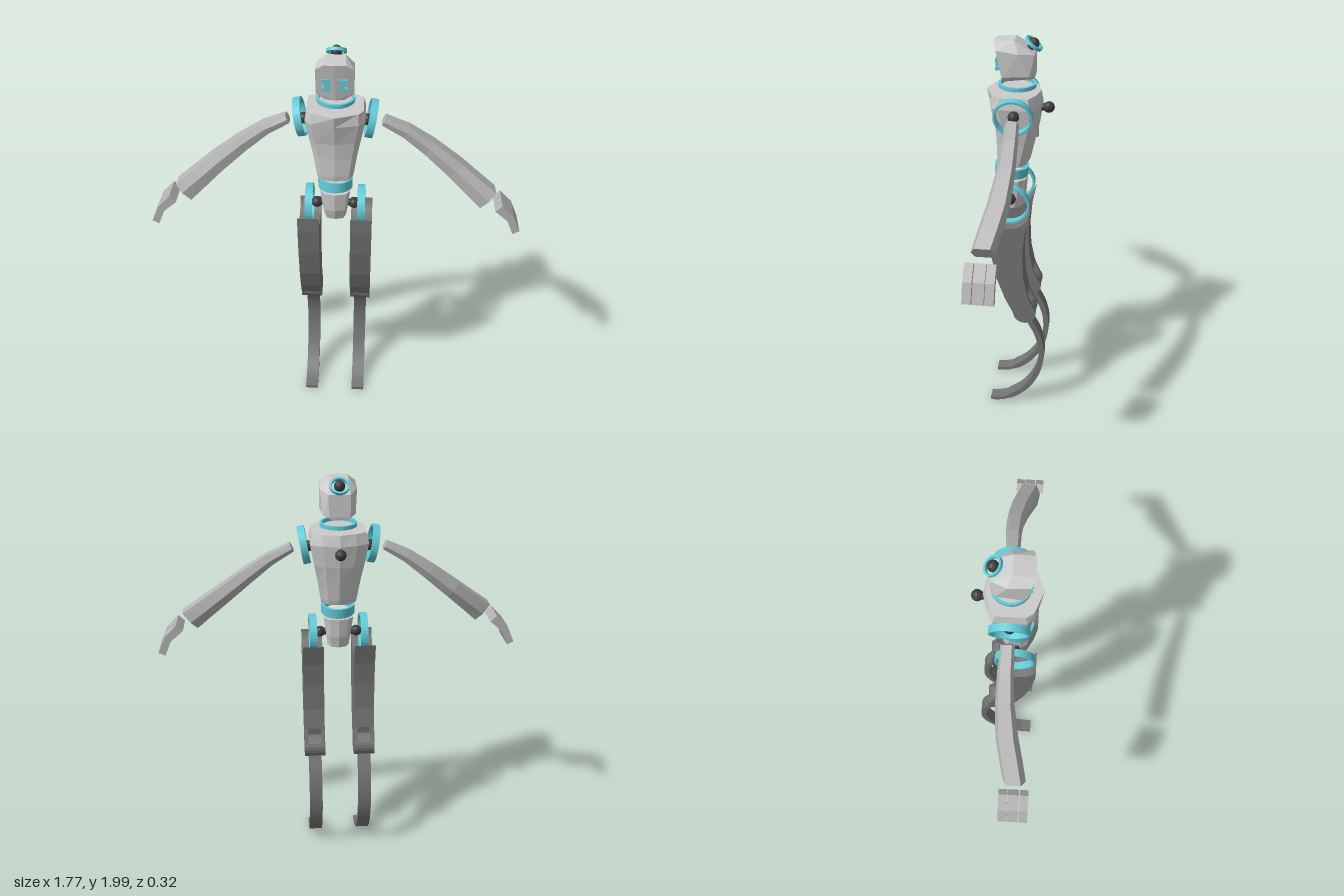
import * as THREE from 'three';
import { ConvexGeometry } from 'three/addons/geometries/ConvexGeometry.js';

const mat = (color) => new THREE.MeshStandardMaterial({ color, flatShading: true });
const shell = mat(0xcccccc), limb = mat(0xb4b4b4), dark = mat(0x747474), black = mat(0x3c3c3c), cyan = mat(0x62cbd8);
const V = (x, y, z) => new THREE.Vector3(x, y, z);

export function createModel() {
  const root = new THREE.Group();
  const add = (name, geometry, material, parent = root) => {
    const m = new THREE.Mesh(geometry, material);
    m.name = name;
    parent.add(m);
    return m;
  };

  // Skin between cross-sections of equal point count, capped at both ends, always facing outwards
  const loft = (sections) => {
    const n = sections[0].length, tris = [];
    const mid = (s) => s.reduce((a, p) => a.add(p), V(0, 0, 0)).divideScalar(n);
    const first = sections[0], last = sections[sections.length - 1];
    const c0 = mid(first), c1 = mid(last);
    for (let i = 0; i < n; i++) {
      const j = (i + 1) % n;
      for (let k = 0; k < sections.length - 1; k++) {
        const a = sections[k], b = sections[k + 1];
        tris.push([a[i], a[j], b[j]], [a[i], b[j], b[i]]);
      }
      tris.push([c0, first[j], first[i]], [c1, last[i], last[j]]);
    }
    const volume = tris.reduce((v, [a, b, c]) => v + a.dot(V(0, 0, 0).crossVectors(b, c)), 0);
    const points = tris.flatMap(([a, b, c]) => (volume < 0 ? [a, c, b] : [a, b, c]));
    const g = new THREE.BufferGeometry().setFromPoints(points);
    g.computeVertexNormals();
    return g;
  };

  const extrude = (shape, depth) =>
    new THREE.ExtrudeGeometry(shape, { depth, bevelEnabled: false, curveSegments: 20 }).translate(0, 0, -depth / 2);
  const polygon = (pts) => new THREE.Shape(pts.map(([x, y]) => new THREE.Vector2(x, y)));
  // Side profile given as (z, y), widened along x
  const sideExtrude = (shape, width, x) => extrude(shape, width).rotateY(-Math.PI / 2).translate(x, 0, 0);

  // Hollow band around an axis
  const band = (name, radius, wall, height, position, axis) => {
    const s = new THREE.Shape().absarc(0, 0, radius, 0, Math.PI * 2, false);
    s.holes.push(new THREE.Path().absarc(0, 0, radius - wall, 0, Math.PI * 2, true));
    const m = add(name, extrude(s, height), cyan);
    m.position.copy(position);
    m.quaternion.setFromUnitVectors(V(0, 0, 1), axis.clone().normalize());
  };

  // Ball on a short stalk
  const knob = (name, base, tip, r = 0.027) => {
    const g = new THREE.Group();
    const dir = tip.clone().sub(base);
    const len = dir.length();
    g.name = name;
    g.position.copy(base);
    g.quaternion.setFromUnitVectors(V(0, 1, 0), dir.normalize());
    add('stalk', new THREE.CylinderGeometry(r * 0.65, r * 0.65, len, 10).translate(0, len / 2, 0), black, g);
    add('ball', new THREE.SphereGeometry(r, 12, 8).translate(0, len, 0), black, g);
    root.add(g);
  };

  // Torso section: ridge in front, flat front panels, sides, ridge at the back
  const torsoSection = ([y, front, corner, rear, back, wFront, wSide, wBack]) => [
    V(0, y, front), V(wFront, y, corner), V(wSide, y, corner - 0.035), V(wSide, y, rear + 0.03),
    V(wBack, y, rear), V(0, y, back),
    V(-wBack, y, rear), V(-wSide, y, rear + 0.03), V(-wSide, y, corner - 0.035), V(-wFront, y, corner),
  ];
  add('chest', loft([
    [1.375, 0.108, 0.098, -0.03, -0.042, 0.062, 0.083, 0.05],
    [1.4, 0.112, 0.1, -0.038, -0.052, 0.066, 0.088, 0.052],
    [1.5, 0.114, 0.1, -0.06, -0.075, 0.078, 0.103, 0.06],
    [1.58, 0.12, 0.105, -0.08, -0.094, 0.09, 0.118, 0.066],
    [1.685, 0.145, 0.122, -0.092, -0.11, 0.108, 0.137, 0.08],
    [1.738, 0.155, 0.115, -0.08, -0.1, 0.105, 0.128, 0.075],
  ].map(torsoSection)), shell);
  add('pelvis', loft([
    [1.14, 0.085, 0.075, -0.005, -0.015, 0.04, 0.052, 0.035],
    [1.2, 0.105, 0.092, -0.02, -0.03, 0.048, 0.06, 0.04],
    [1.295, 0.11, 0.095, -0.028, -0.038, 0.055, 0.072, 0.045],
  ].map(torsoSection)), shell);

  // Head: flat wide face, narrow crown, tapered chin
  const headPoints = [V(0, 1.972, 0.115), V(0, 1.786, 0.08)];
  for (const s of [-1, 1]) {
    headPoints.push(
      V(s * 0.05, 1.97, 0.11), V(s * 0.085, 1.945, 0.1), V(s * 0.045, 1.98, 0.02),
      V(s * 0.085, 1.93, 0), V(s * 0.05, 1.92, -0.072), V(s * 0.085, 1.82, 0.075),
      V(s * 0.075, 1.825, -0.05), V(s * 0.05, 1.815, -0.072), V(s * 0.045, 1.788, 0.072), V(s * 0.04, 1.805, -0.07));
  }
  add('head', new ConvexGeometry(headPoints), shell);

  // Central rings and knobs
  band('neckRing', 0.088, 0.012, 0.018, V(0, 1.764, 0.012), V(0, 1, 0));
  band('waistRing', 0.082, 0.012, 0.048, V(0, 1.335, 0.04), V(0, 1, -0.1));
  const crownAxis = V(0, 0.79, -0.62);
  const crownCentre = V(0, 1.958, -0.062);
  band('crownRing', 0.046, 0.01, 0.015, crownCentre, crownAxis);
  knob('crownKnob', V(0, 1.915, -0.03), crownCentre, 0.026);
  knob('backKnob', V(0, 1.657, -0.09), V(0, 1.657, -0.135));

  // Leg profiles, in (z, y)
  const hip = { z: 0.037, y: 1.2, r: 0.107 };
  const frontEdge = [[0.142, 1.1], [0.127, 0.96], [0.095, 0.8], [0.053, 0.68], [0.018, 0.61]];
  const backEdge = [[-0.058, 0.705], [-0.037, 0.81], [-0.032, 0.945], [-0.042, 1.06]];
  const legShape = (kneePoints) => {
    const socket = [];
    for (let i = 0; i <= 16; i++) {
      const a = Math.PI + 0.31 + (Math.PI - 0.52) * (i / 16);
      socket.push([hip.z + hip.r * Math.cos(a), hip.y + hip.r * Math.sin(a)]);
    }
    return polygon([...socket, ...frontEdge, ...kneePoints, ...backEdge]);
  };
  const kneeArc = [];
  for (let i = 0; i <= 12; i++) {
    const a = -0.1 - (Math.PI + 0.6) * (i / 12);
    kneeArc.push([-0.043 + 0.057 * Math.cos(a), 0.602 + 0.057 * Math.sin(a)]);
  }
  const cheekShape = legShape(kneeArc);
  const coreShape = legShape([[-0.005, 0.6], [-0.015, 0.69]]);

  // Curved spring blade, thinner at the toe
  const path = new THREE.CatmullRomCurve3([
    V(-0.045, 0.6, 0), V(-0.07, 0.54, 0), V(-0.108, 0.46, 0), V(-0.128, 0.37, 0), V(-0.123, 0.265, 0),
    V(-0.088, 0.165, 0), V(-0.03, 0.085, 0), V(0.045, 0.03, 0), V(0.085, 0.015, 0), V(0.14, 0.009, 0)]);
  const inner = [], outer = [];
  for (let i = 0; i <= 32; i++) {
    const p = path.getPointAt(i / 32), t = path.getTangentAt(i / 32);
    const h = i > 27 ? 0.009 : 0.014;
    inner.push([p.x - t.y * h, p.y + t.x * h]);
    outer.unshift([p.x + t.y * h, Math.max(0, p.y - t.x * h)]);
  }
  const bladeShape = polygon([...inner, ...outer]);

  // Bent finger and eye outlines, in (x, y)
  const finger = [[0.788, 1.278], [0.757, 1.248], [0.82, 1.193], [0.852, 1.119], [0.884, 1.135], [0.847, 1.219]];
  const eye = [[0.018, 1.845], [0.058, 1.845], [0.058, 1.86], [0.045, 1.86], [0.045, 1.884],
    [0.058, 1.884], [0.058, 1.9], [0.018, 1.9]];
  // Arm stations: x, y, half thickness, back z, front z
  const arm = [
    [0.22, 1.657, 0.02, -0.022, 0.04], [0.325, 1.603, 0.028, -0.03, 0.042], [0.434, 1.524, 0.036, -0.033, 0.05],
    [0.56, 1.423, 0.043, -0.026, 0.075], [0.65, 1.347, 0.048, -0.005, 0.1], [0.722, 1.286, 0.053, 0.015, 0.118]];

  for (const s of [-1, 1]) {
    const side = s > 0 ? 'left' : 'right';
    const mirror = (pts) => polygon(pts.map(([x, y]) => [s * x, y]));

    add(side + 'Eye', extrude(mirror(eye), 0.026).translate(0, 0, 0.093), cyan);

    // Shoulder, arm and hand
    band(side + 'ShoulderRing', 0.09, 0.01, 0.034, V(s * 0.163, 1.664, 0.013), V(s, -0.18, 0));
    knob(side + 'ShoulderKnob', V(s * 0.11, 1.66, 0.013), V(s * 0.145, 1.658, 0.013));
    add(side + 'Arm', loft(arm.map(([x, y, h, z0, z1], i) => {
      const a = arm[Math.max(i - 1, 0)], b = arm[Math.min(i + 1, arm.length - 1)];
      const n = V(a[1] - b[1], b[0] - a[0], 0).normalize();
      const zm = (z0 + z1) / 2, zr = (z1 - z0) / 2;
      return [[1, -0.7], [1, 0.6], [0.1, 1], [-1, 0.8], [-1, -0.6], [-0.1, -1]].map(([u, w]) =>
        V(s * (x + n.x * h * u), y + n.y * h * u, zm + zr * w));
    })), limb);
    [0.019, 0.066, 0.114].forEach((z, i) =>
      add(side + 'Finger' + (i + 1), extrude(mirror(finger), i === 1 ? 0.05 : 0.039).translate(0, 0, z), limb));

    // Hip, thigh with a slotted knee, and blade
    const x = s * 0.127;
    band(side + 'HipRing', 0.097, 0.01, 0.036, V(s * 0.125, hip.y, hip.z), V(1, 0, 0));
    knob(side + 'HipKnob', V(s * 0.045, 1.21, hip.z), V(s * 0.09, 1.208, hip.z));
    add(side + 'ThighCore', sideExtrude(coreShape, 0.068, x), dark);
    for (const e of [-1, 1]) add(side + 'ThighCheek', sideExtrude(cheekShape, 0.018, x + e * 0.043), dark);
    add(side + 'KneeBarrel', new THREE.CylinderGeometry(0.055, 0.055, 0.068, 20)
      .rotateZ(Math.PI / 2).translate(x, 0.602, -0.043), dark);
    add(side + 'Blade', sideExtrude(bladeShape, 0.066, x), dark);
  }
  return root;
}
